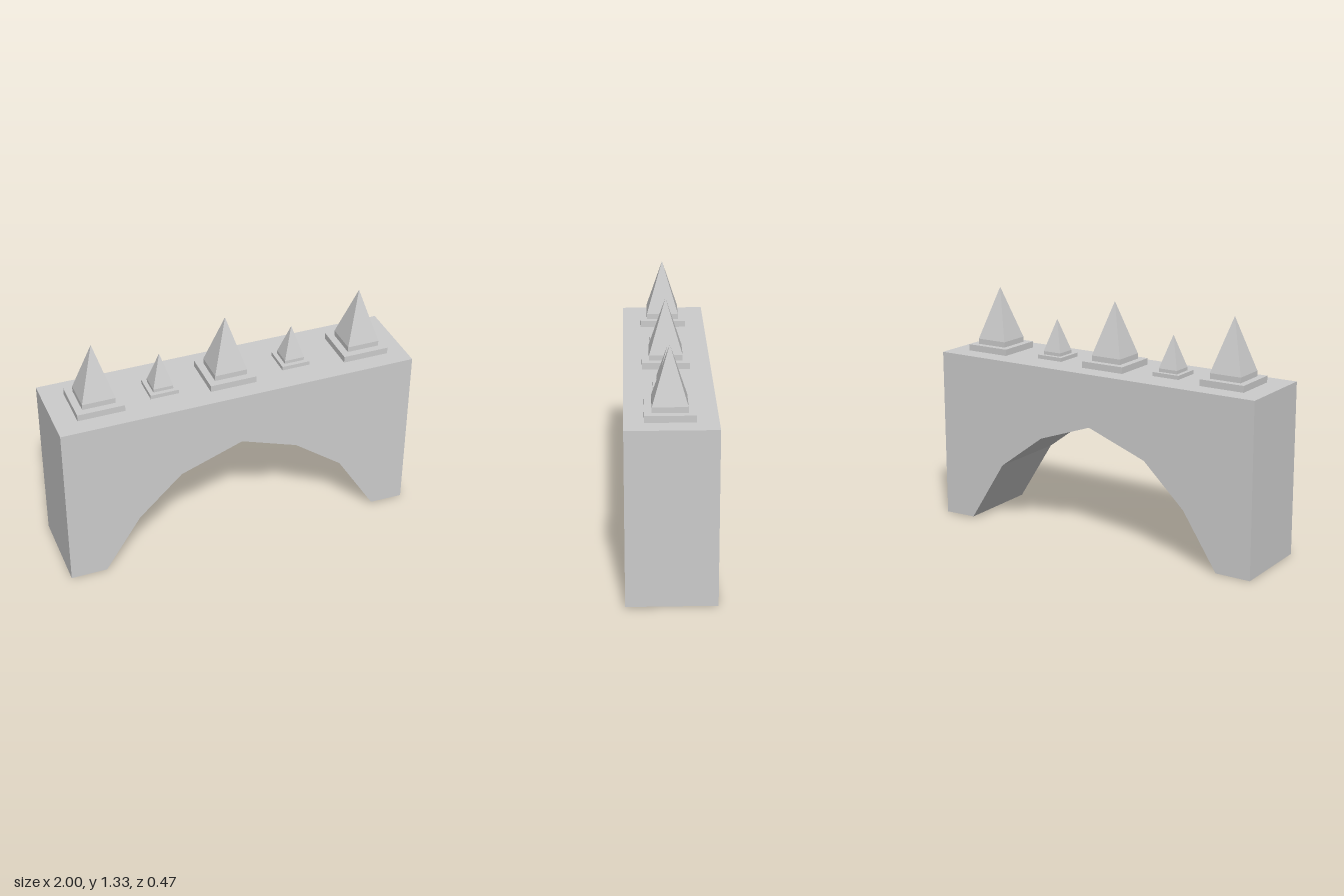
import * as THREE from 'three';

const material = new THREE.MeshStandardMaterial({ color: 0xcccccc, flatShading: true });
const TOP = 0.965;
const DEPTH = 0.474;

function addPart(parent, name, geometry, y = 0) {
  const mesh = new THREE.Mesh(geometry, material);
  mesh.name = name;
  mesh.position.y = y;
  parent.add(mesh);
}

// Stepped plinth, short square base and four-sided spike
function createSpire(name, x, scale) {
  const spire = new THREE.Group();
  spire.name = name;
  addPart(spire, 'plinth', new THREE.BoxGeometry(0.26, 0.036, 0.26), 0.018);
  addPart(spire, 'spikeBase', new THREE.BoxGeometry(0.182, 0.03, 0.182), 0.051);
  const spike = new THREE.ConeGeometry(0.091 * Math.SQRT2, 0.296, 4, 1, true).rotateY(Math.PI / 4);
  addPart(spire, 'spike', spike, 0.066 + 0.148);
  spire.position.set(x, TOP, 0.005);
  spire.scale.setScalar(scale);
  return spire;
}

export function createModel() {
  const model = new THREE.Group();
  model.name = 'archedBridge';

  // Wall with a slightly uneven faceted arch cut from its underside
  const outline = [
    [-1, 0], [-0.797, 0], [-0.595, 0.31], [-0.35, 0.542], [0, 0.67],
    [0.32, 0.557], [0.592, 0.355], [0.811, 0.008], [1, 0.004], [1, TOP], [-1, TOP],
  ].map(([x, y]) => new THREE.Vector2(x, y));
  const wall = new THREE.ExtrudeGeometry(new THREE.Shape(outline), { depth: DEPTH, bevelEnabled: false });
  wall.translate(0, 0, -DEPTH / 2);
  addPart(model, 'archWall', wall);

  // Alternating large and small spires along the top
  [
    ['largeSpireRight', -0.748, 1],
    ['smallSpireRight', -0.382, 0.61],
    ['largeSpireCentre', -0.011, 1],
    ['smallSpireLeft', 0.372, 0.61],
    ['largeSpireLeft', 0.767, 1],
  ].forEach(([name, x, scale]) => model.add(createSpire(name, x, scale)));

  return model;
}
